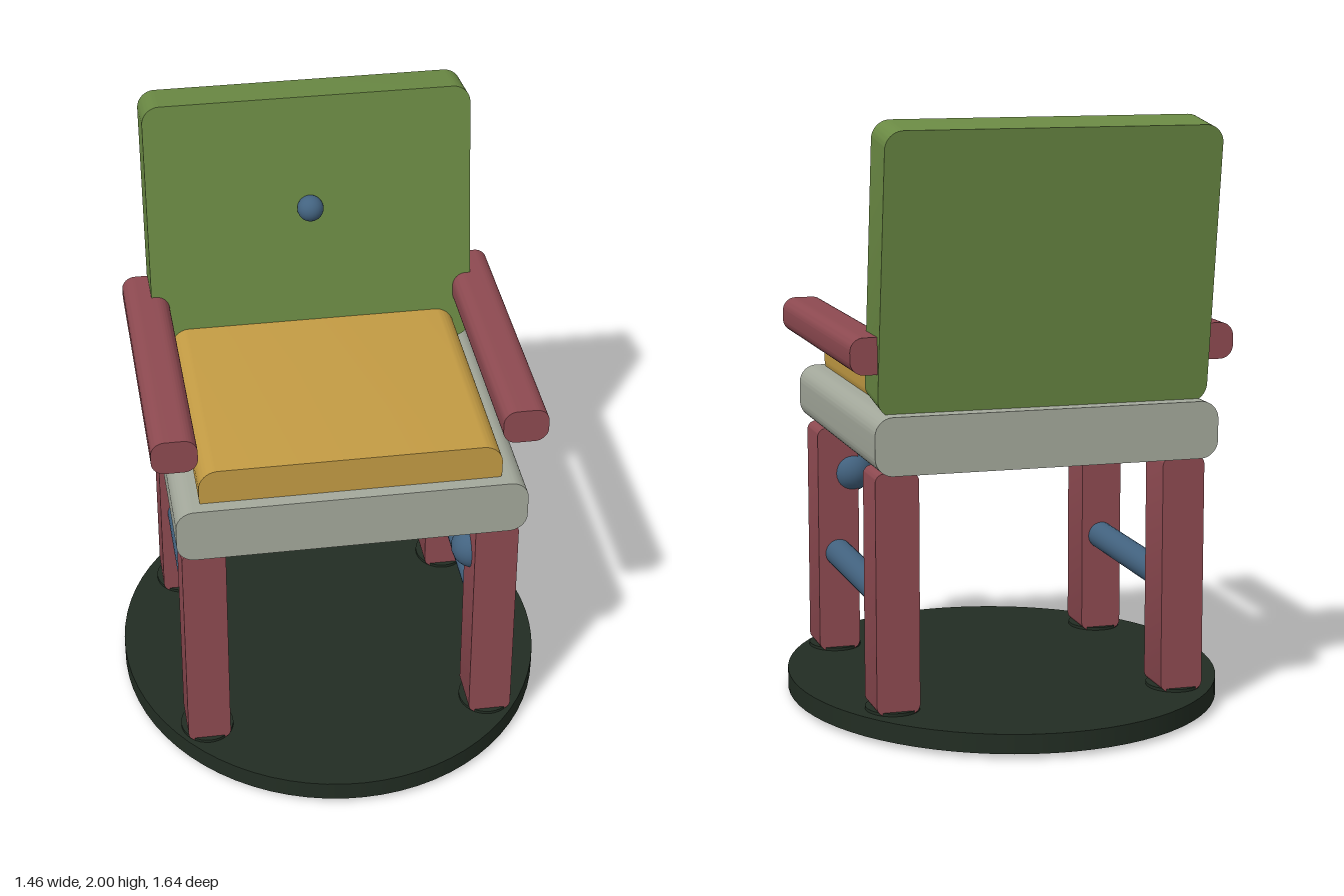
import * as THREE from 'three';
import { toCreasedNormals } from 'three/addons/utils/BufferGeometryUtils.js';

const paint = (name, color) => {
  const m = new THREE.MeshStandardMaterial({ color });
  m.name = name;
  return m;
};

// Rounded rectangle in x-y, extruded along z and centred on the origin
function slab(w, h, d, r) {
  const x = w / 2, y = h / 2;
  const s = new THREE.Shape();
  s.moveTo(-x + r, -y);
  s.lineTo(x - r, -y);
  s.absarc(x - r, -y + r, r, -Math.PI / 2, 0);
  s.lineTo(x, y - r);
  s.absarc(x - r, y - r, r, 0, Math.PI / 2);
  s.lineTo(-x + r, y);
  s.absarc(-x + r, y - r, r, Math.PI / 2, Math.PI);
  s.lineTo(-x, -y + r);
  s.absarc(-x + r, -y + r, r, Math.PI, Math.PI * 1.5);
  const g = new THREE.ExtrudeGeometry(s, { depth: d, bevelEnabled: false, curveSegments: 8 });
  g.translate(0, 0, -d / 2);
  return toCreasedNormals(g, 0.6);
}

export function createModel() {
  const model = new THREE.Group();
  model.name = 'chair';
  const green = paint('green', 0x6b8a44);
  const gold = paint('gold', 0xc49c44);
  const grey = paint('pale grey', 0xa4a99c);
  const maroon = paint('maroon', 0x8e4a51);
  const blue = paint('blue', 0x436380);
  const dark = paint('dark green', 0x222d23);

  const add = (name, geometry, material, x, y, z) => {
    const mesh = new THREE.Mesh(geometry, material);
    mesh.name = name;
    mesh.position.set(x, y, z);
    model.add(mesh);
    return mesh;
  };

  // Oval floor plate
  const plate = new THREE.CylinderGeometry(1, 1, 0.065, 72);
  plate.scale(0.732, 1, 0.818);
  add('basePlate', plate, dark, 0, 0.0475, 0);

  // Legs with oval feet, and side stretchers
  const leg = slab(0.145, 0.8, 0.164, 0.03);
  const foot = new THREE.CylinderGeometry(1, 1, 0.09, 32);
  foot.scale(0.09, 1, 0.101);
  const stretcher = new THREE.CylinderGeometry(0.048, 0.048, 0.72, 24);
  stretcher.rotateX(Math.PI / 2);
  const arm = slab(0.15, 0.12, 1.015, 0.045);
  for (const side of [-1, 1]) {
    const label = side > 0 ? 'left' : 'right';
    for (const [end, z] of [['Front', 0.437], ['Back', -0.398]]) {
      add(`${label}${end}Leg`, leg, maroon, side * 0.488, 0.48, z);
      add(`${label}${end}Foot`, foot, dark, side * 0.488, 0.045, z);
    }
    add(`${label}Stretcher`, stretcher, blue, side * 0.488, 0.432, 0.02);
    add(`${label}Armrest`, arm, maroon, side * 0.57, 1.265, 0.002);
  }

  // Seat and cushion
  add('seat', slab(1.156, 0.19, 1.11, 0.06), grey, 0, 0.98, 0);
  add('cushion', slab(0.994, 0.165, 0.91, 0.065), gold, 0, 1.1145, 0.055);

  // Reclined backrest with a button
  const back = add('backrest', slab(1.112, 0.924, 0.174, 0.06), green, 0, 1.534, -0.476);
  back.rotation.x = -0.14;
  add('backButton', new THREE.SphereGeometry(0.045, 24, 16), blue, 0, 1.615, -0.385);

  // Knob on the inner corner of the left front leg
  add('legKnob', new THREE.SphereGeometry(0.075, 24, 16), blue, 0.435, 0.717, 0.4);

  return model;
}
